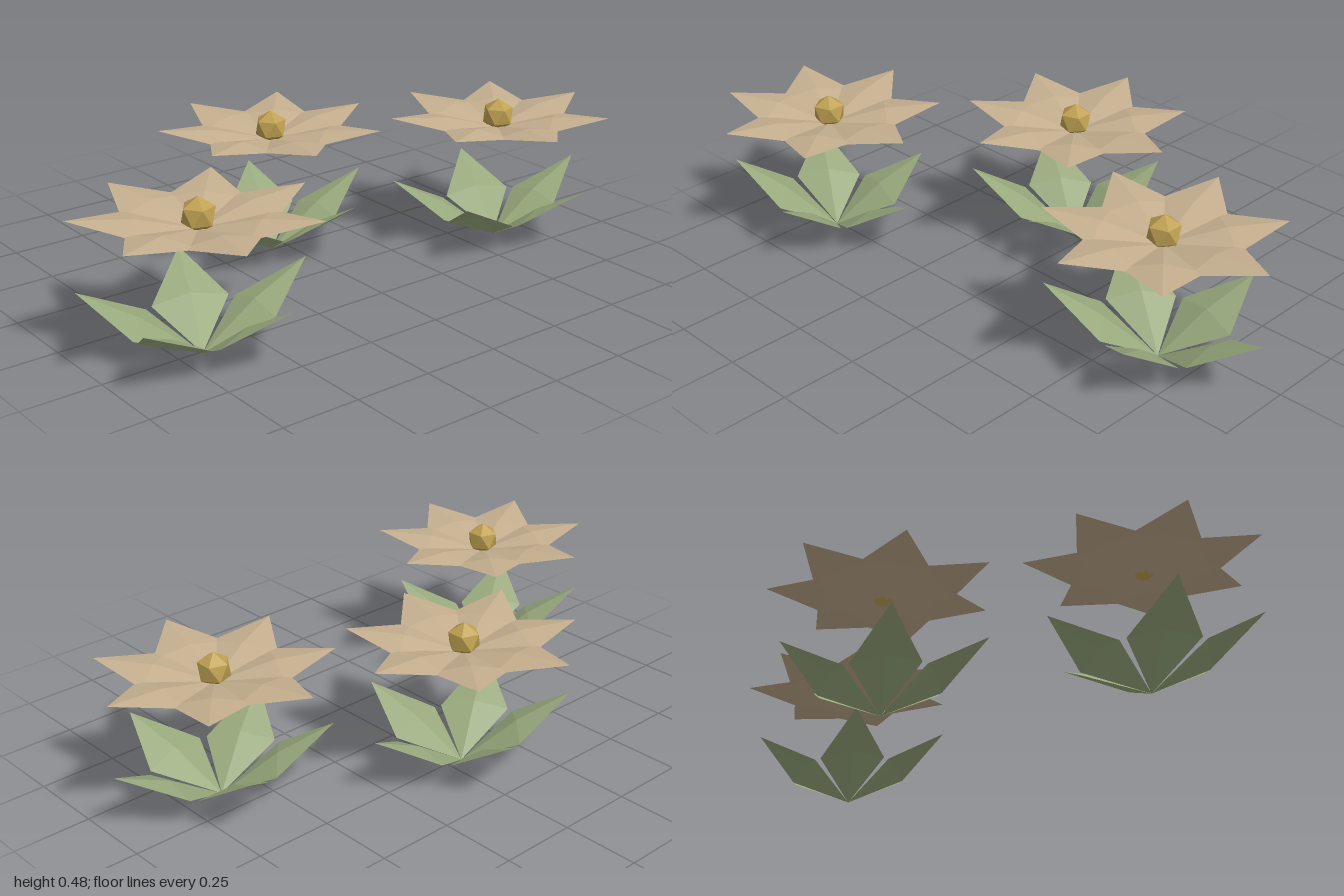
import * as THREE from 'three';

const petalMat = new THREE.MeshStandardMaterial({ color: 0xc4ae8e, flatShading: true, side: THREE.DoubleSide });
petalMat.name = 'tan petal';
const leafMat = new THREE.MeshStandardMaterial({ color: 0x98a87c, flatShading: true, side: THREE.DoubleSide });
leafMat.name = 'sage leaf';
const coreMat = new THREE.MeshStandardMaterial({ color: 0xbfa152, flatShading: true });
coreMat.name = 'golden core';

// Four-faced kite blade with a raised central crease, pointing along +x
function bladeGeometry({ length, halfWidth, baseY, cornerY, ridgeY, tipY }) {
  const mid = length / 2;
  const base = [0, baseY, 0], ridge = [mid, ridgeY, 0], tip = [length, tipY, 0];
  const a = [mid, cornerY, halfWidth], b = [mid, cornerY, -halfWidth];
  const corners = [base, a, ridge, ridge, a, tip, base, ridge, b, ridge, tip, b];
  const geometry = new THREE.BufferGeometry();
  geometry.setAttribute('position', new THREE.Float32BufferAttribute(corners.flat(), 3));
  geometry.computeVertexNormals();
  return geometry;
}

// Ring of equal blades, slightly narrowed in z
function rosette(name, part, count, geometry, material, zScale) {
  const group = new THREE.Group();
  group.name = name;
  for (let i = 0; i < count; i++) {
    const blade = new THREE.Mesh(geometry, material);
    blade.name = part;
    blade.rotation.y = (i / count) * Math.PI * 2;
    group.add(blade);
  }
  group.scale.z = zScale;
  return group;
}

export function createModel() {
  const model = new THREE.Group();
  model.name = 'flowers';

  const petalGeo = bladeGeometry({ length: 0.37, halfWidth: 0.12, baseY: 0.385, cornerY: 0.409, ridgeY: 0.428, tipY: 0.437 });
  const leafGeo = bladeGeometry({ length: 0.37, halfWidth: 0.12, baseY: 0, cornerY: 0.097, ridgeY: 0.122, tipY: 0.206 });
  // Icosahedron turned to stand on a vertex
  const coreGeo = new THREE.IcosahedronGeometry(0.055, 0).rotateZ(Math.atan(2 / (1 + Math.sqrt(5))));

  for (const [x, z] of [[-0.674, 0.258], [-0.052, -0.262], [0.624, 0.096]]) {
    const flower = new THREE.Group();
    flower.name = 'flower';
    const core = new THREE.Mesh(coreGeo, coreMat);
    core.name = 'flowerCore';
    core.position.y = 0.426;
    flower.add(
      rosette('leaves', 'leaf', 5, leafGeo, leafMat, 0.84),
      rosette('petals', 'petal', 7, petalGeo, petalMat, 0.977),
      core
    );
    flower.position.set(x, 0, z);
    model.add(flower);
  }
  return model;
}
